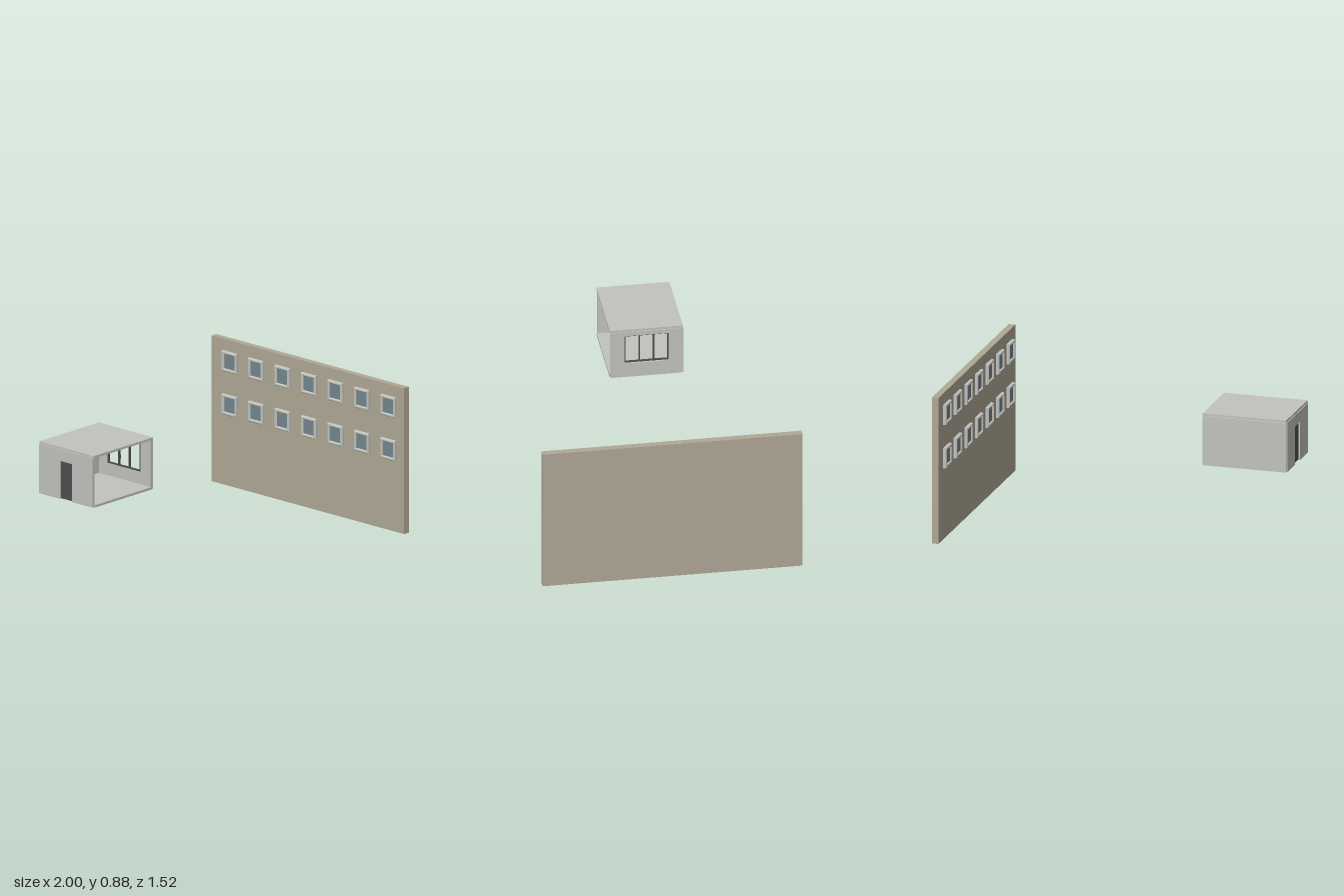
import * as THREE from 'three';

const mat = (name, color) => {
  const m = new THREE.MeshStandardMaterial({ color });
  m.name = name;
  return m;
};

export function createModel() {
  const beige = mat('beige plaster', 0xb0a896);
  const grey = mat('light grey concrete', 0xc2c3be);
  const dark = mat('dark metal', 0x4c504f);
  const glass = mat('blue grey glass', 0x73868e);
  const root = new THREE.Group();
  root.name = 'buildingParts';

  const add = (parent, name, geo, material) => {
    const m = new THREE.Mesh(geo, material);
    m.name = name;
    parent.add(m);
    return m;
  };
  // Box given by its limits on each axis
  const box = (parent, name, material, x0, x1, y0, y1, z0, z1) => {
    const g = new THREE.BoxGeometry(x1 - x0, y1 - y0, z1 - z0);
    g.translate((x0 + x1) / 2, (y0 + y1) / 2, (z0 + z1) / 2);
    return add(parent, name, g, material);
  };
  const rect = (P, z0, z1, y0, y1) => {
    const p = new P();
    p.moveTo(z0, y0);
    p.lineTo(z1, y0);
    p.lineTo(z1, y1);
    p.lineTo(z0, y1);
    p.closePath();
    return p;
  };
  // Panel in the z-y plane, from x1 back to x0
  const panel = (shape, x0, x1) => {
    const g = new THREE.ExtrudeGeometry(shape, { depth: x1 - x0, bevelEnabled: false });
    g.rotateY(-Math.PI / 2);
    g.translate(x1, 0, 0);
    return g;
  };

  // Facade slab with two rows of framed windows facing inwards
  const facade = new THREE.Group();
  facade.name = 'facade';
  root.add(facade);
  box(facade, 'facadeSlab', beige, 0.96, 1, 0, 0.88, -0.76, 0.757);

  const frameShape = rect(THREE.Shape, -0.053, 0.053, -0.056, 0.056);
  frameShape.holes.push(rect(THREE.Path, -0.046, 0.046, -0.048, 0.048));
  const frameGeo = new THREE.ExtrudeGeometry(frameShape, {
    depth: 0.014, bevelEnabled: true, bevelSize: 0.005, bevelThickness: 0.006, bevelSegments: 1,
  });
  frameGeo.rotateY(-Math.PI / 2);
  frameGeo.translate(0.961, 0, 0);
  const paneGeo = new THREE.BoxGeometry(0.006, 0.104, 0.1);
  for (const y of [0.49, 0.751]) {
    for (let i = 0; i < 7; i++) {
      const win = new THREE.Group();
      win.name = 'facadeWindow';
      win.position.set(0, y, -0.609 + i * 0.2083);
      facade.add(win);
      add(win, 'windowFrame', frameGeo, grey);
      add(win, 'windowPane', paneGeo, glass).position.x = 0.953;
    }
  }

  // Room module, open at the front
  const room = new THREE.Group();
  room.name = 'room';
  root.add(room);
  box(room, 'roomFloor', grey, -0.985, -0.503, 0.474, 0.484, -0.285, 0.13);
  box(room, 'floorUnderside', beige, -0.985, -0.503, 0.47, 0.474, -0.29, 0.13);
  box(room, 'roof', grey, -0.995, -0.492, 0.768, 0.782, -0.297, 0.13);
  box(room, 'backWall', grey, -0.995, -0.492, 0.47, 0.766, -0.3, -0.282);

  // Side wall with the doorway, cut down to the ground
  const doorWall = new THREE.Shape();
  [[-0.288, 0.47], [-0.133, 0.47], [-0.133, 0.7], [-0.037, 0.7], [-0.037, 0.47],
    [0.124, 0.47], [0.124, 0.768], [-0.288, 0.768]]
    .forEach(([z, y], i) => (i ? doorWall.lineTo(z, y) : doorWall.moveTo(z, y)));
  add(room, 'doorWall', panel(doorWall, -1, -0.982), grey);
  box(room, 'doorLeaf', dark, -0.99, -0.984, 0.472, 0.7, -0.133, -0.037);
  const knob = add(room, 'doorHandle', new THREE.SphereGeometry(0.005, 10, 8), dark);
  knob.position.set(-0.979, 0.585, -0.123);

  // Side wall with the three-part window
  const winWall = rect(THREE.Shape, -0.288, 0.124, 0.47, 0.768);
  winWall.holes.push(rect(THREE.Path, -0.214, 0.044, 0.56, 0.742));
  add(room, 'windowWall', panel(winWall, -0.506, -0.488), grey);

  const sash = rect(THREE.Shape, -0.214, 0.044, 0.56, 0.742);
  const pitch = (0.258 - 0.008) / 3;
  for (let i = 0; i < 3; i++) {
    const z = -0.206 + i * pitch;
    sash.holes.push(rect(THREE.Path, z, z + pitch - 0.008, 0.568, 0.734));
  }
  add(room, 'sideWindowFrame', panel(sash, -0.508, -0.498), dark);
  box(room, 'windowHandle', dark, -0.498, -0.493, 0.6, 0.625, -0.128, -0.122);

  return root;
}
